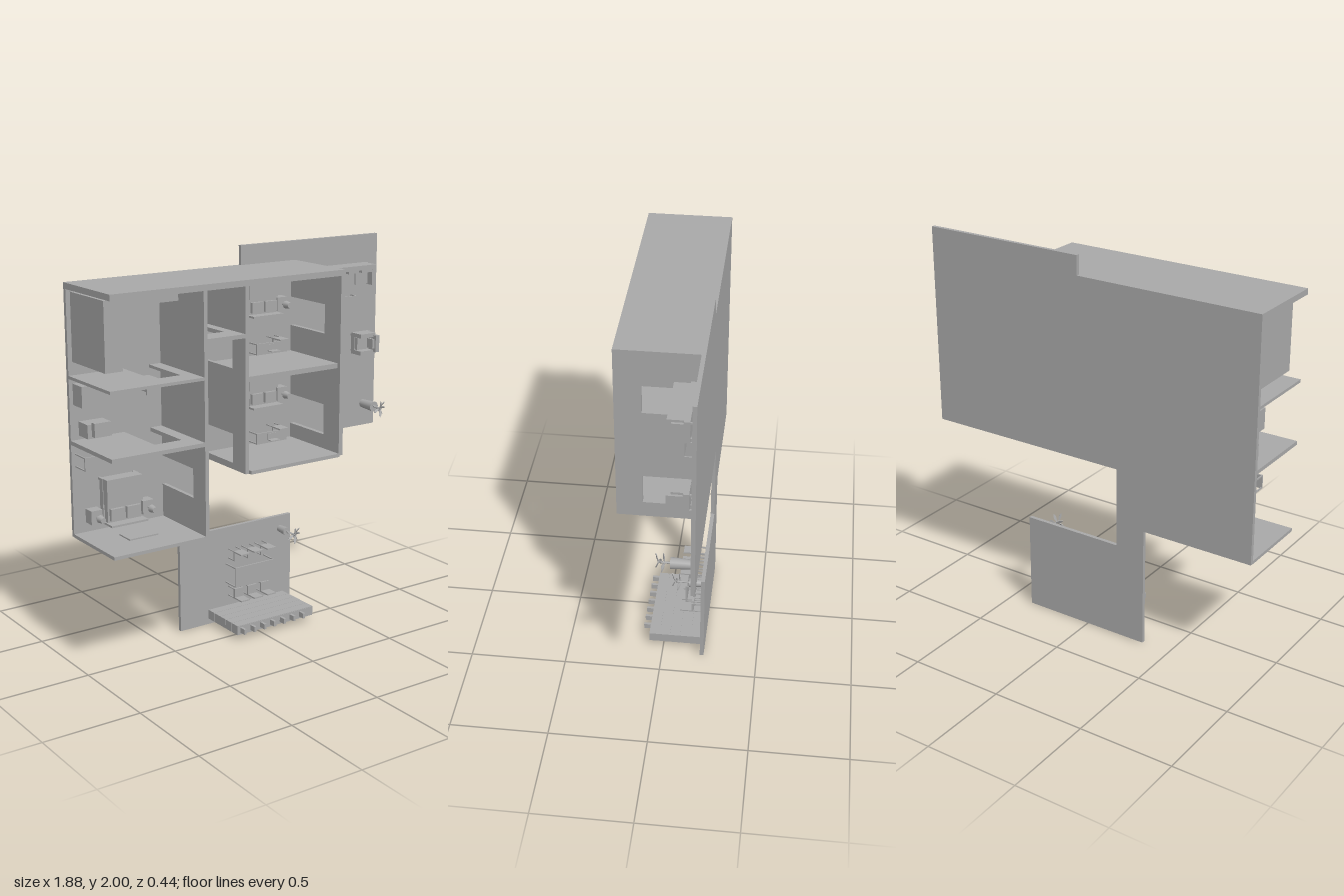
import * as THREE from 'three';

const FLOOR = -0.2; // floor surface; heights grow toward +z
const DOOR = 0.09; // top of every doorway

export function createModel() {
  const root = new THREE.Group();
  root.name = 'apartmentPlan';
  const grey = new THREE.MeshStandardMaterial({ color: 0xa8a8a8 });
  grey.name = 'plain grey';

  const group = (name) => {
    const g = new THREE.Group();
    g.name = name;
    root.add(g);
    return g;
  };
  const add = (parent, name, geo) => {
    const m = new THREE.Mesh(geo, grey);
    m.name = name;
    parent.add(m);
    return m;
  };
  const box = (parent, name, x0, x1, y0, y1, z0, z1) => {
    const m = add(parent, name, new THREE.BoxGeometry(x1 - x0, y1 - y0, z1 - z0));
    m.position.set((x0 + x1) / 2, (y0 + y1) / 2, (z0 + z1) / 2);
    return m;
  };
  const cyl = (parent, name, x, y, z0, z1, r0, r1 = r0) => {
    const m = add(parent, name, new THREE.CylinderGeometry(r1, r0, z1 - z0, 16));
    m.rotation.x = Math.PI / 2;
    m.position.set(x, y, (z0 + z1) / 2);
    return m;
  };
  const legs = (parent, x0, x1, y0, y1, top, t = 0.006) => {
    for (const x of [x0, x1 - t]) for (const y of [y0, y1 - t])
      box(parent, 'leg', x, x + t, y, y + t, FLOOR, top);
  };
  const rect = (x0, x1, y0, y1) => new THREE.Path()
    .moveTo(x0, y0).lineTo(x0, y1).lineTo(x1, y1).lineTo(x1, y0).closePath();

  // Floor slab
  const outline = [[-0.34, 0], [0.37, 0], [0.37, 0.52], [-0.18, 0.52], [-0.18, 0.945], [0.94, 0.945],
    [0.94, 2], [0.05, 2], [0.05, 1.9], [-0.945, 1.9], [-0.945, 0.645], [-0.34, 0.645]];
  const slab = new THREE.Shape(outline.map(([x, y]) => new THREE.Vector2(x, y)));
  add(root, 'floor', new THREE.ExtrudeGeometry(slab, { depth: 0.02, bevelEnabled: false }))
    .position.z = FLOOR - 0.02;

  // Walls, split around their doorways
  const walls = group('walls');
  const wallX = (x0, x1, y0, y1, top, doors = []) => {
    let from = x0;
    for (const [a, b] of doors) {
      box(walls, 'wall', from, a, y0, y1, FLOOR, top);
      box(walls, 'lintel', a, b, y0, y1, DOOR, top);
      from = b;
    }
    box(walls, 'wall', from, x1, y0, y1, FLOOR, top);
  };
  const wallY = (x0, x1, y0, y1, top, doors = []) => {
    let from = y0;
    for (const [a, b] of doors) {
      box(walls, 'wall', x0, x1, from, a, FLOOR, top);
      box(walls, 'lintel', x0, x1, a, b, DOOR, top);
      from = b;
    }
    box(walls, 'wall', x0, x1, from, y1, FLOOR, top);
  };
  wallX(-0.945, 0.39, 1.87, 1.9, 0.22);
  wallX(-0.945, -0.435, 1.44, 1.455, 0.2, [[-0.65, -0.5]]);
  wallX(-0.945, -0.435, 1.115, 1.135, 0.2, [[-0.65, -0.5]]);
  wallX(-0.945, -0.435, 0.643, 0.66, 0.2);
  wallX(-0.415, -0.2, 1.617, 1.637, 0.2, [[-0.38, -0.25]]);
  wallX(-0.18, 0.365, 1.4, 1.425, 0.2);
  wallX(-0.18, 0.37, 0.937, 0.955, 0.22);
  wallY(-0.435, -0.415, 0.643, 1.87, 0.2, [[0.83, 0.98]]);
  wallY(-0.2, -0.18, 0.937, 1.87, 0.2, [[0.97, 1.12], [1.45, 1.6]]);
  wallY(0.365, 0.39, 0.945, 1.87, 0.22, [[1.03, 1.19], [1.56, 1.71]]);

  // Kitchen units in an L
  const kitchen = group('kitchenUnits');
  box(kitchen, 'longUnit', -0.922, -0.83, 1.52, 1.856, FLOOR, 0.12);
  box(kitchen, 'crossUnit', -0.83, -0.45, 1.795, 1.87, FLOOR, 0.0);

  // Beds with pillows, bedside tables and lamps
  const bed = (x, y, w, h) => {
    const g = group('bed');
    const x0 = x - w / 2, x1 = x + w / 2;
    box(g, 'frame', x0, x1, y, y + h, -0.185, -0.155);
    legs(g, x0, x1, y, y + h, -0.18, 0.012);
    box(g, 'mattress', x0 + 0.008, x1 - 0.008, y + 0.01, y + h - 0.005, -0.155, -0.125);
    box(g, 'blanket', x0 + 0.003, x1 - 0.003, y + h * 0.43, y + h, -0.155, -0.115);
    box(g, 'headboard', x0, x1, y, y + 0.01, -0.155, -0.07);
    for (const s of [-1, 1]) {
      const px = x + s * w * 0.22, nx = x + s * (w / 2 + 0.043);
      box(g, 'pillow', px - w * 0.19, px + w * 0.19, y + 0.02, y + h * 0.35, -0.125, -0.108);
      box(g, 'bedsideTable', nx - 0.031, nx + 0.031, y + 0.01, y + 0.08, FLOOR, -0.14);
      cyl(g, 'lampStem', nx, y + 0.045, -0.14, -0.11, 0.005);
      cyl(g, 'lampShade', nx, y + 0.045, -0.11, -0.075, 0.02, 0.014);
    }
  };
  bed(0.132, 1.645, 0.185, 0.21);
  bed(0.132, 1.17, 0.185, 0.21);
  bed(-0.702, 0.7, 0.205, 0.23);

  // Chairs; side is the direction of the backrest along y
  const chair = (x, y, side, w = 0.055) => {
    const g = group('chair');
    const h = w / 2, edge = y + side * h;
    box(g, 'seat', x - h, x + h, y - h, y + h, -0.147, -0.136);
    box(g, 'backrest', x - h, x + h, Math.min(edge, edge - side * 0.007), Math.max(edge, edge - side * 0.007), -0.136, -0.075);
    legs(g, x - h, x + h, y - h, y + h, -0.147, 0.005);
  };
  const table = (name, x0, x1, y0, y1, top) => {
    const g = group(name);
    box(g, 'top', x0, x1, y0, y1, top - 0.008, top);
    legs(g, x0, x1, y0, y1, top - 0.008);
    return g;
  };

  // Bedroom desks
  for (const y of [1.445, 0.972]) {
    const g = table('desk', 0.085, 0.275, y, y + 0.058, -0.11);
    box(g, 'laptopBase', 0.15, 0.205, y + 0.018, y + 0.05, -0.11, -0.106);
    box(g, 'laptopScreen', 0.15, 0.205, y + 0.016, y + 0.02, -0.106, -0.07);
    chair(0.235, y + 0.046, 1);
  }
  table('sideTable', -0.925, -0.81, 1.0, 1.068, -0.1);
  box(root, 'wallScreen', -0.77, -0.61, 0.66, 0.667, -0.06, 0.04);

  // Bathroom fittings: tub and basins are rims with a sunken floor
  const tub = (name, x0, x1, y0, y1, rim, z0, top) => {
    const g = group(name);
    const s = new THREE.Shape(rect(x0, x1, y0, y1).getPoints());
    s.holes.push(rect(x0 + rim, x1 - rim, y0 + rim, y1 - rim));
    add(g, 'rim', new THREE.ExtrudeGeometry(s, { depth: top - z0, bevelEnabled: false })).position.z = z0;
    box(g, 'basinFloor', x0 + rim, x1 - rim, y0 + rim, y1 - rim, z0, z0 + 0.015);
    return g;
  };
  tub('bathTub', -0.925, -0.735, 1.31, 1.415, 0.013, FLOOR, -0.11);
  box(root, 'vanity', -0.9, -0.77, 1.155, 1.225, FLOOR, -0.11);
  tub('vanityBasin', -0.878, -0.79, 1.165, 1.235, 0.012, -0.11, -0.08);
  tub('washBasin', -0.4, -0.332, 1.808, 1.862, 0.01, FLOOR, -0.09);
  for (const [x, y] of [[-0.532, 1.32], [-0.252, 1.78]]) {
    const g = group('toilet');
    box(g, 'tank', x - 0.028, x + 0.028, y + 0.064, y + 0.084, FLOOR, -0.085);
    box(g, 'bowl', x - 0.018, x + 0.018, y + 0.012, y + 0.064, FLOOR, -0.14);
    box(g, 'seat', x - 0.024, x + 0.024, y, y + 0.064, -0.14, -0.13);
  }

  // Sofa and armchair share one pattern, built with the back toward +y
  const seating = (name, n, w, d, x, y, turn) => {
    const g = group(name);
    const h = w / 2, e = d / 2, arm = 0.022, pitch = (w - 2 * arm) / n;
    legs(g, -h + 0.01, h - 0.01, -e + 0.01, e - 0.01, -0.18, 0.01);
    box(g, 'base', -h, h, -e, e, -0.183, -0.155);
    box(g, 'back', -h + 0.012, h - 0.012, e - 0.025, e, -0.155, -0.08);
    for (const s of [-1, 1])
      box(g, 'arm', s * (h - arm / 2) - arm / 2, s * (h - arm / 2) + arm / 2, -e, e - 0.012, -0.155, -0.1);
    for (let i = 0; i < n; i++) {
      const a = -h + arm + i * pitch;
      box(g, 'seatCushion', a + 0.003, a + pitch - 0.003, -e + 0.004, e - 0.027, -0.155, -0.135);
      box(g, 'backCushion', a + 0.01, a + pitch - 0.01, e - 0.04, e - 0.025, -0.135, -0.09);
    }
    g.position.set(x, y, 0);
    g.rotation.z = turn;
  };
  seating('sofa', 3, 0.31, 0.112, 0.695, 1.798, 0);
  seating('armchair', 1, 0.115, 0.112, 0.816, 1.422, -Math.PI / 2);
  table('coffeeTable', 0.612, 0.765, 1.6, 1.685, -0.142);

  // Potted plants with splayed leaves
  const leafShape = new THREE.Shape();
  leafShape.moveTo(0, 0).quadraticCurveTo(0.03, 0.014, 0.048, 0).quadraticCurveTo(0.03, -0.014, 0, 0);
  const leafGeo = new THREE.ExtrudeGeometry(leafShape, { depth: 0.003, bevelEnabled: false });
  const plant = (x, y, potTop, r, crown) => {
    const g = group('plant');
    cyl(g, 'pot', x, y, FLOOR, potTop, r * 0.8, r);
    cyl(g, 'stem', x, y, potTop, crown + 0.035, 0.005);
    for (let i = 0; i < 7; i++) {
      const leaf = add(g, 'leaf', leafGeo);
      leaf.rotation.set(0.5, -0.25, (i * Math.PI * 2) / 7, 'ZYX');
      leaf.position.set(x, y, crown + (i % 3) * 0.015);
    }
  };
  plant(0.862, 1.068, -0.1, 0.028, -0.075);
  plant(0.3, 0.447, -0.135, 0.023, -0.09);

  // Dining set
  table('diningTable', -0.055, 0.195, 0.21, 0.32, -0.105);
  for (const x of [-0.012, 0.073, 0.158]) {
    chair(x, 0.373, 1);
    chair(x, 0.162, -1);
  }

  // Terrace planked stand with projecting pegs
  const stand = group('plankStand');
  for (let i = 0; i < 5; i++) {
    const z = FLOOR + i * 0.055;
    box(stand, 'plank', -0.165, 0.32, 0.03, 0.08, z, z + 0.053);
  }
  box(stand, 'core', -0.163, 0.318, 0.032, 0.078, FLOOR, 0.075);
  for (let i = 0; i < 7; i++) {
    const x = -0.142 + i * 0.063;
    box(stand, 'frontPeg', x - 0.007, x + 0.007, 0.042, 0.07, 0.07, 0.112);
    for (let j = 0; j < 5; j++) {
      const z = FLOOR + 0.027 + j * 0.055;
      box(stand, 'lowerPeg', x - 0.007, x + 0.007, 0.024, 0.032, z - 0.01, z + 0.01);
    }
  }
  return root;
}
